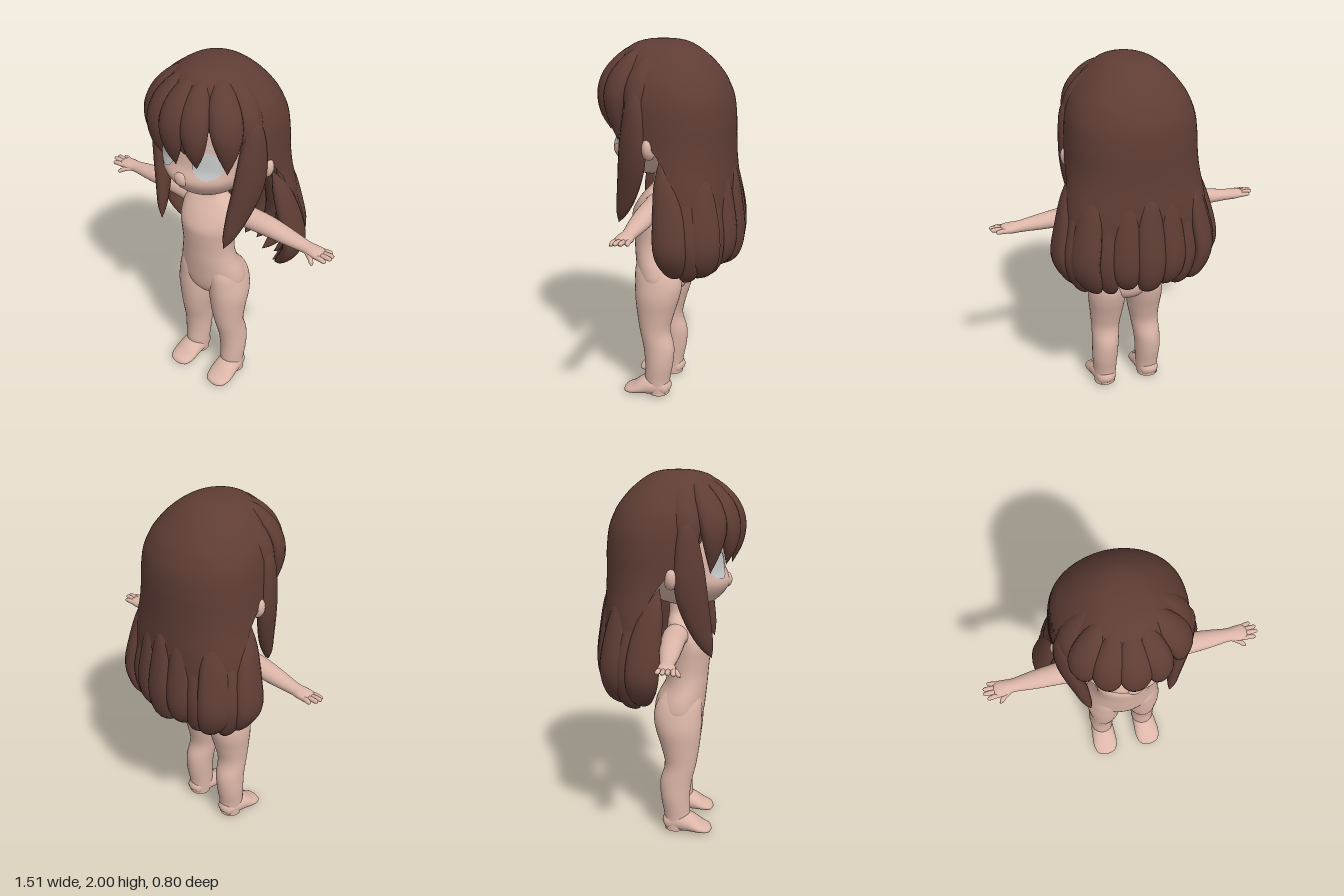
import * as THREE from 'three';
import { mergeVertices } from 'three/addons/utils/BufferGeometryUtils.js';

// Catmull-Rom through rows of numbers, t in 0..1
function sample(rows, t) {
  const f = t * (rows.length - 1);
  const i = Math.min(Math.floor(f), rows.length - 2);
  const k = f - i;
  const row = (j) => rows[Math.max(0, Math.min(rows.length - 1, j))];
  const [a, b, c, d] = [row(i - 1), row(i), row(i + 1), row(i + 2)];
  return b.map((p, n) => p + 0.5 * k * (c[n] - a[n] + k * (2 * a[n] - 5 * p + 4 * c[n] - d[n]
    + k * (3 * (p - c[n]) + d[n] - a[n]))));
}

// Welded smooth grid surface from fn(u, v) -> [x, y, z]
function surface(fn, nu, nv) {
  const pos = [], index = [];
  for (let j = 0; j <= nv; j++) for (let i = 0; i <= nu; i++) pos.push(...fn(i / nu, j / nv));
  for (let j = 0; j < nv; j++) for (let i = 0; i < nu; i++) {
    const a = j * (nu + 1) + i, b = a + nu + 1;
    index.push(a, a + 1, b + 1, a, b + 1, b);
  }
  const g = new THREE.BufferGeometry();
  g.setAttribute('position', new THREE.Float32BufferAttribute(pos, 3));
  g.setIndex(index);
  const welded = mergeVertices(g, 1e-5);
  welded.computeVertexNormals();
  return welded;
}

// Horizontal elliptical sections, bottom to top: [y, cx, cz, rx, rz]
function loft(rows, nu = 32, nv = 40) {
  return surface((u, v) => {
    const [y, cx, cz, rx, rz] = sample(rows, v);
    const a = u * Math.PI * 2;
    return [cx + Math.max(rx, 0.0002) * Math.sin(a), y, cz + Math.max(rz, 0.0002) * Math.cos(a)];
  }, nu, nv);
}

// Tapered strand or limb along rows [x, y, z, halfWidth, halfThickness]; normal is the thickness side
function sweep(rows, normal, nu = 16, nv = 24) {
  const n0 = new THREE.Vector3(...normal).normalize();
  return surface((u, v) => {
    const [x, y, z, w, th] = sample(rows, v);
    const p = sample(rows, Math.min(1, v + 0.01)), q = sample(rows, Math.max(0, v - 0.01));
    const d = new THREE.Vector3(p[0] - q[0], p[1] - q[1], p[2] - q[2]).normalize();
    const s = new THREE.Vector3().crossVectors(d, n0).normalize();
    const n = new THREE.Vector3().crossVectors(s, d);
    const a = u * Math.PI * 2;
    return new THREE.Vector3(x, y, z)
      .addScaledVector(s, Math.max(w, 0.0002) * Math.sin(a))
      .addScaledVector(n, Math.max(th, 0.0002) * Math.cos(a)).toArray();
  }, nu, nv);
}

// Cosine that squares off the back of the hair a little
const fullBack = (a) => {
  const c = Math.cos(a);
  return c < 0 ? -Math.pow(-c, 0.82) : c;
};

export function createModel() {
  const model = new THREE.Group();
  const material = (name, color, side = THREE.FrontSide) => {
    const m = new THREE.MeshStandardMaterial({ color, side });
    m.name = name;
    return m;
  };
  const skin = material('skin', 0xdcb6a8);
  const hair = material('brown hair', 0x5f3d35, THREE.DoubleSide);
  const eyeGrey = material('eye grey', 0xc8cac9);
  const lip = material('lip', 0xb98a80);
  const add = (name, geometry, mat) => {
    const mesh = new THREE.Mesh(geometry, mat);
    mesh.name = name;
    model.add(mesh);
    return mesh;
  };

  // Plain doll torso and neck
  add('torso', loft([
    [0.575, 0, 0.06, 0, 0], [0.595, 0, 0.06, 0.06, 0.075], [0.64, 0, 0.053, 0.15, 0.122],
    [0.7, 0, 0.053, 0.2, 0.138], [0.77, 0, 0.065, 0.196, 0.134], [0.85, 0, 0.09, 0.17, 0.117],
    [0.92, 0, 0.098, 0.157, 0.114], [1.0, 0, 0.1, 0.16, 0.119], [1.07, 0, 0.1, 0.168, 0.119],
    [1.14, 0, 0.083, 0.17, 0.1], [1.195, 0, 0.062, 0.15, 0.076], [1.225, 0, 0.052, 0.095, 0.06],
    [1.26, 0, 0.05, 0.064, 0.055], [1.34, 0, 0.05, 0.062, 0.055],
  ], 36, 56), skin);

  // Head
  const headRows = [
    [1.283, 0, 0.13, 0, 0], [1.298, 0, 0.11, 0.09, 0.09], [1.34, 0, 0.085, 0.175, 0.185],
    [1.42, 0, 0.068, 0.248, 0.252], [1.5, 0, 0.03, 0.287, 0.262], [1.6, 0, 0.014, 0.3, 0.265],
    [1.75, 0, 0.005, 0.28, 0.255], [1.88, 0, 0.01, 0.19, 0.18], [1.95, 0, 0, 0, 0],
  ];
  add('head', loft(headRows, 40, 48), skin);
  const nose = add('nose', new THREE.SphereGeometry(1, 20, 14), skin);
  nose.scale.set(0.045, 0.04, 0.03);
  nose.position.set(0, 1.425, 0.301);

  // Thin oval patch laid over the face
  const facePatch = (cx, cy, rx, ry) => surface((u, v) => {
    const a = u * Math.PI * 2, r = 1 - v;
    const x = cx + rx * r * Math.cos(a), y = cy + ry * r * Math.sin(a);
    let lo = 0, hi = 1;
    for (let i = 0; i < 30; i++) {
      const mid = (lo + hi) / 2;
      if (sample(headRows, mid)[0] < y) lo = mid; else hi = mid;
    }
    const [, , cz, hx, hz] = sample(headRows, lo);
    return [x, y, cz + hz * Math.sqrt(Math.max(0, 1 - (x / hx) ** 2)) + 0.005];
  }, 28, 6);
  add('mouth', facePatch(0, 1.37, 0.03, 0.003), lip);

  for (const s of [1, -1]) {
    const side = s > 0 ? 'left' : 'right';
    add(side + 'Eye', facePatch(s * 0.133, 1.53, 0.074, 0.074), eyeGrey);
    add(side + 'Brow', facePatch(s * 0.125, 1.632, 0.06, 0.005), eyeGrey);
    const ear = add(side + 'Ear', new THREE.SphereGeometry(1, 16, 12), skin);
    ear.scale.set(0.045, 0.06, 0.036);
    ear.position.set(s * 0.316, 1.49, 0.028);
    ear.rotation.z = -s * 0.25;

    // Leg and foot
    add(side + 'Leg', loft([
      [0.015, 0.135, 0.042, 0.062, 0.06], [0.1, 0.132, 0.05, 0.067, 0.072], [0.2, 0.133, 0.04, 0.074, 0.08],
      [0.3, 0.128, 0.043, 0.077, 0.088], [0.4, 0.12, 0.067, 0.082, 0.087], [0.5, 0.114, 0.065, 0.095, 0.105],
      [0.6, 0.112, 0.055, 0.106, 0.125], [0.68, 0.107, 0.05, 0.102, 0.132], [0.76, 0.1, 0.06, 0.088, 0.122],
      [0.84, 0.085, 0.08, 0.06, 0.085],
    ].map(([y, x, ...r]) => [y, s * x, ...r])), skin);
    add(side + 'Foot', sweep([
      [0.135, 0.04, -0.026, 0, 0], [0.135, 0.046, -0.012, 0.045, 0.042], [0.135, 0.063, 0.05, 0.066, 0.062],
      [0.137, 0.056, 0.11, 0.072, 0.055], [0.14, 0.031, 0.18, 0.074, 0.03],
      [0.14, 0.018, 0.23, 0.052, 0.018], [0.14, 0.014, 0.246, 0, 0],
    ].map(([x, ...r]) => [s * x, ...r]), [0, 1, 0], 24), skin);

    // Arm with palm
    add(side + 'Arm', sweep([
      [0.06, 1.13, 0.045, 0.06, 0.05], [0.13, 1.143, 0.042, 0.068, 0.062], [0.2, 1.148, 0.037, 0.066, 0.056],
      [0.35, 1.147, 0.035, 0.06, 0.05], [0.48, 1.138, 0.035, 0.05, 0.04], [0.59, 1.13, 0.035, 0.037, 0.03],
      [0.64, 1.128, 0.037, 0.044, 0.027], [0.685, 1.13, 0.037, 0.04, 0.018], [0.705, 1.13, 0.037, 0, 0],
    ].map(([x, ...r]) => [s * x, ...r]), [0, 1, 0], 24, 36), skin);
    // Fingers and thumb: [base x, base z, tip x, tip z, tip y]
    [[0.66, 0.068, 0.738, 0.076, 1.125], [0.67, 0.047, 0.755, 0.05, 1.135], [0.67, 0.026, 0.752, 0.024, 1.135],
      [0.66, 0.008, 0.728, -0.003, 1.13], [0.61, 0.06, 0.68, 0.1, 1.1]].forEach(([x, z, tx, tz, ty], i) => {
      add(side + (i < 4 ? 'Finger' : 'Thumb'), sweep([
        [s * x, 1.125, z, 0.013, 0.013], [s * (x + tx) / 2, (1.13 + ty) / 2, (z + tz) / 2, 0.013, 0.013],
        [s * (tx - 0.008), ty, tz, 0.01, 0.01], [s * tx, ty, tz, 0, 0],
      ], [0, 1, 0], 10, 10), skin);
    });

    // Long lock in front of the ear
    add(side + 'SideLock', sweep([
      [0.265, 1.83, 0.1, 0, 0], [0.297, 1.72, 0.105, 0.05, 0.038], [0.302, 1.55, 0.117, 0.08, 0.044],
      [0.288, 1.4, 0.132, 0.086, 0.045], [0.256, 1.24, 0.17, 0.066, 0.038], [0.232, 1.12, 0.21, 0.036, 0.024],
      [0.215, 1.05, 0.235, 0, 0],
    ].map(([x, ...r]) => [s * x, ...r]), [s, 0, 0.45]), hair);
  }

  // Hair shell, open at the face: [y, rx, frontZ, backZ, half opening angle]
  const shellRows = [
    [1.0, 0.4, 0.08, -0.35, 1.65], [1.25, 0.385, 0.18, -0.35, 1.62], [1.4, 0.36, 0.24, -0.34, 1.6],
    [1.5, 0.35, 0.28, -0.337, 1.45], [1.6, 0.345, 0.29, -0.335, 1.1], [1.7, 0.335, 0.295, -0.323, 0.75],
    [1.77, 0.315, 0.3, -0.298, 0], [1.83, 0.285, 0.298, -0.265, 0], [1.9, 0.23, 0.275, -0.205, 0],
    [1.96, 0.158, 0.225, -0.13, 0], [1.99, 0.09, 0.15, -0.06, 0], [2.0, 0, 0.045, 0.045, 0],
  ];
  add('hairShell', surface((u, v) => {
    const [y, rx, front, back, open] = sample(shellRows, v);
    const gap = Math.max(0, open);
    const a = gap + u * (Math.PI * 2 - 2 * gap);
    return [rx * Math.sin(a), Math.min(y, 2), (front + back) / 2 + (front - back) / 2 * fullBack(a)];
  }, 56, 60), hair);

  // Hanging locks around the back: [degrees from straight back, width scale, outward shift, tip drop]
  const backLocks = [[0, 1, 0, 0.02], [19, 0.95, -0.01, 0], [36, 0.8, -0.03, 0.03], [53, 1.15, 0, 0.01],
    [71, 0.85, -0.02, 0.03], [88, 1.1, 0.005, 0]];
  for (const s of [1, -1]) for (const [deg, wide, shift, drop] of backLocks) {
    if (deg === 0 && s < 0) continue;
    const a = s * THREE.MathUtils.degToRad(deg), dx = Math.sin(a), dz = fullBack(Math.PI - a);
    const rows = [
      [1.44, 0.31, 0.28, -0.01, 0, 0], [1.32, 0.346, 0.275, -0.045, 0.05, 0.035],
      [1.15, 0.388, 0.262, -0.08, 0.075, 0.046], [1.0, 0.414, 0.262, -0.095, 0.08, 0.047],
      [0.9 - drop, 0.378, 0.24, -0.1, 0.066, 0.04], [0.84 - drop, 0.335, 0.185, -0.095, 0.038, 0.025],
      [0.81 - drop, 0.3, 0.135, -0.09, 0, 0],
    ].map(([y, rx, rz, cz, w, th]) => [(rx + shift) * dx, y, cz + (rz + shift) * dz, w * wide, th]);
    add('backLock', sweep(rows, [dx, 0, -Math.cos(a)]), hair);
  }

  // Fringe locks fanning from the crown: [degrees from straight ahead, tip height, outward shift, width scale]
  for (const [deg, tip, shift, wide] of [[-72, 1.47, 0, 1], [-50, 1.5, 0.02, 1.12], [-27, 1.53, 0.01, 1.05],
    [-2, 1.52, 0.004, 1.1], [10, 1.58, -0.03, 0.75], [22, 1.53, 0.008, 1], [50, 1.5, 0.02, 1.15],
    [72, 1.47, 0, 1]]) {
    const a = THREE.MathUtils.degToRad(deg), dx = Math.sin(a), dz = Math.cos(a);
    const rows = [
      [1.955, 0.08, 0.12, 0, 0], [1.925, 0.15, 0.21, 0.042, 0.035], [1.84, 0.24, 0.303, 0.068, 0.045],
      [1.74, 0.288, 0.345, 0.07, 0.048], [1.63, 0.296, 0.346, 0.046, 0.034], [tip, 0.28, 0.325, 0, 0],
    ].map(([y, rx, rz, w, th]) => [(rx + shift) * dx, y, (rz + shift) * dz, w * wide, th]);
    add('fringeLock', sweep(rows, [dx, 0.25, dz]), hair);
  }
  return model;
}
